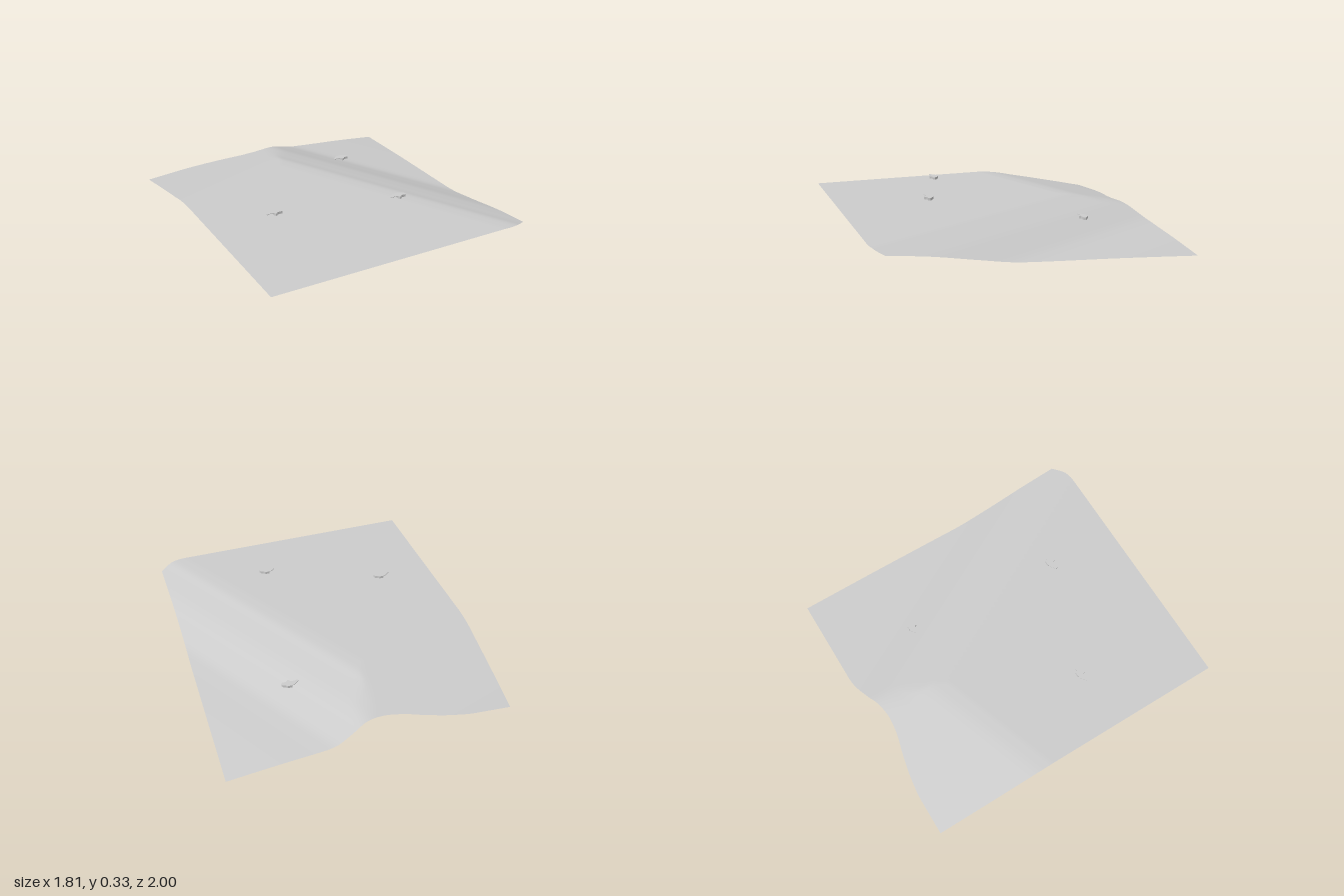
import * as THREE from 'three';

const grey = new THREE.MeshStandardMaterial({ color: 0xcccccc, side: THREE.DoubleSide });
grey.name = 'light grey';

// Smooth monotone interpolation through [position, value] pairs
function sample(points, p) {
  const n = points.length - 1;
  if (p <= points[0][0]) return points[0][1];
  if (p >= points[n][0]) return points[n][1];
  let i = 0;
  while (p > points[i + 1][0]) i++;
  const secant = k => (points[k + 1][1] - points[k][1]) / (points[k + 1][0] - points[k][0]);
  const tangent = k => {
    if (k === 0) return secant(0);
    if (k === n) return secant(n - 1);
    const a = secant(k - 1), b = secant(k);
    return a * b <= 0 ? 0 : 2 * a * b / (a + b);
  };
  const w = points[i + 1][0] - points[i][0], t = (p - points[i][0]) / w;
  const t2 = t * t, t3 = t2 * t;
  return (2 * t3 - 3 * t2 + 1) * points[i][1] + (t3 - 2 * t2 + t) * w * tangent(i)
    + (3 * t2 - 2 * t3) * points[i + 1][1] + (t3 - t2) * w * tangent(i + 1);
}

// Outline of the sheet: z of its back and front by x, x of its sides by z
const backEdge = [[-0.9, -1], [-0.65, -1], [-0.5, -0.985], [-0.35, -0.955], [-0.2, -0.918], [-0.1, -0.908],
  [0, -0.92], [0.12, -0.962], [0.24, -0.995], [0.3, -1], [0.9, -1]];
const frontEdge = [[-0.9, 1], [0.7, 1], [0.76, 0.99], [0.81, 0.966], [0.858, 0.932]];
const leftEdge = [[-1, -0.89], [-0.6, -0.902], [-0.2, -0.91], [1, -0.91]];
const rightEdge = [[-1, 0.903], [-0.5, 0.888], [0, 0.872], [0.3, 0.861], [0.6, 0.857], [1, 0.857]];

// Height across the right slope and across the back left slope
const rightSlope = [[0.12, 0.21], [0.2, 0.205], [0.27, 0.188], [0.354, 0.168], [0.425, 0.15],
  [0.567, 0.1], [0.686, 0.063], [0.75, 0.055], [1.01, 0.03], [1.266, 0]];
const backSlope = [[0, 0.21], [0.08, 0.203], [0.25, 0.168], [0.42, 0.13], [0.55, 0.1], [0.76, 0.05]];

function height(x, z) {
  const a = sample(rightSlope, 0.88 * x - 0.474 * z);
  const b = sample(backSlope, -0.333 * (x + 0.9) - 0.943 * (z + 0.2));
  // Rounded ridge where the slopes meet, none on the plateau or valley
  const k = 0.025, d = Math.max(k - Math.abs(a - b), 0) / k;
  const soft = Math.min(1, (0.21 - Math.max(a, b)) / 0.04);
  return Math.max(0, Math.min(a, b) - d * d * k * 0.25 * soft);
}

function buildSheet() {
  const geometry = new THREE.PlaneGeometry(2, 2, 100, 100).rotateX(-Math.PI / 2);
  const pos = geometry.attributes.position;
  for (let i = 0; i < pos.count; i++) {
    const s = (pos.getX(i) + 1) / 2, row = pos.getZ(i), t = (row + 1) / 2;
    const x = THREE.MathUtils.lerp(sample(leftEdge, row), sample(rightEdge, row), s);
    const z = THREE.MathUtils.lerp(sample(backEdge, x), sample(frontEdge, x), t);
    pos.setXYZ(i, x, height(x, z), z);
  }
  geometry.computeVertexNormals();
  const mesh = new THREE.Mesh(geometry, grey);
  mesh.name = 'drapedSheet';
  return mesh;
}

// Extrudes a plan outline (x, -z) upwards from y = base
function plate(name, outline, base, depth) {
  const shape = new THREE.Shape(outline.map(([x, y]) => new THREE.Vector2(x, y)));
  const geometry = new THREE.ExtrudeGeometry(shape, { depth, bevelEnabled: false });
  geometry.rotateX(-Math.PI / 2).translate(0, base, 0);
  const mesh = new THREE.Mesh(geometry, grey);
  mesh.name = name;
  return mesh;
}

function buildFloater(x, y, z) {
  const group = new THREE.Group();
  group.name = 'floatingMarker';
  // Thin tail to the right side of the model, thicker body beside it
  group.add(plate('markerTail', [[0, 0.027], [-0.022, 0.023], [-0.038, 0.01], [-0.056, -0.005],
    [-0.053, -0.017], [-0.03, -0.011], [0, -0.015]], 0.005, 0.003));
  group.add(plate('markerBody', [[-0.006, 0.027], [0.022, 0.027], [0.032, 0.016], [0.047, 0.01],
    [0.055, -0.003], [0.05, -0.016], [0.026, -0.015], [0.016, -0.018], [0.012, -0.028],
    [0.002, -0.028], [-0.006, -0.016]], -0.008, 0.016));
  group.position.set(x, y, z);
  return group;
}

export function createModel() {
  const model = new THREE.Group();
  model.name = 'terrainSheet';
  model.add(buildSheet());
  for (const [x, y, z] of [[-0.53, 0.283, 0.262], [0.205, 0.325, 0.502], [0.353, 0.154, -0.476]]) {
    model.add(buildFloater(x, y, z));
  }
  return model;
}
